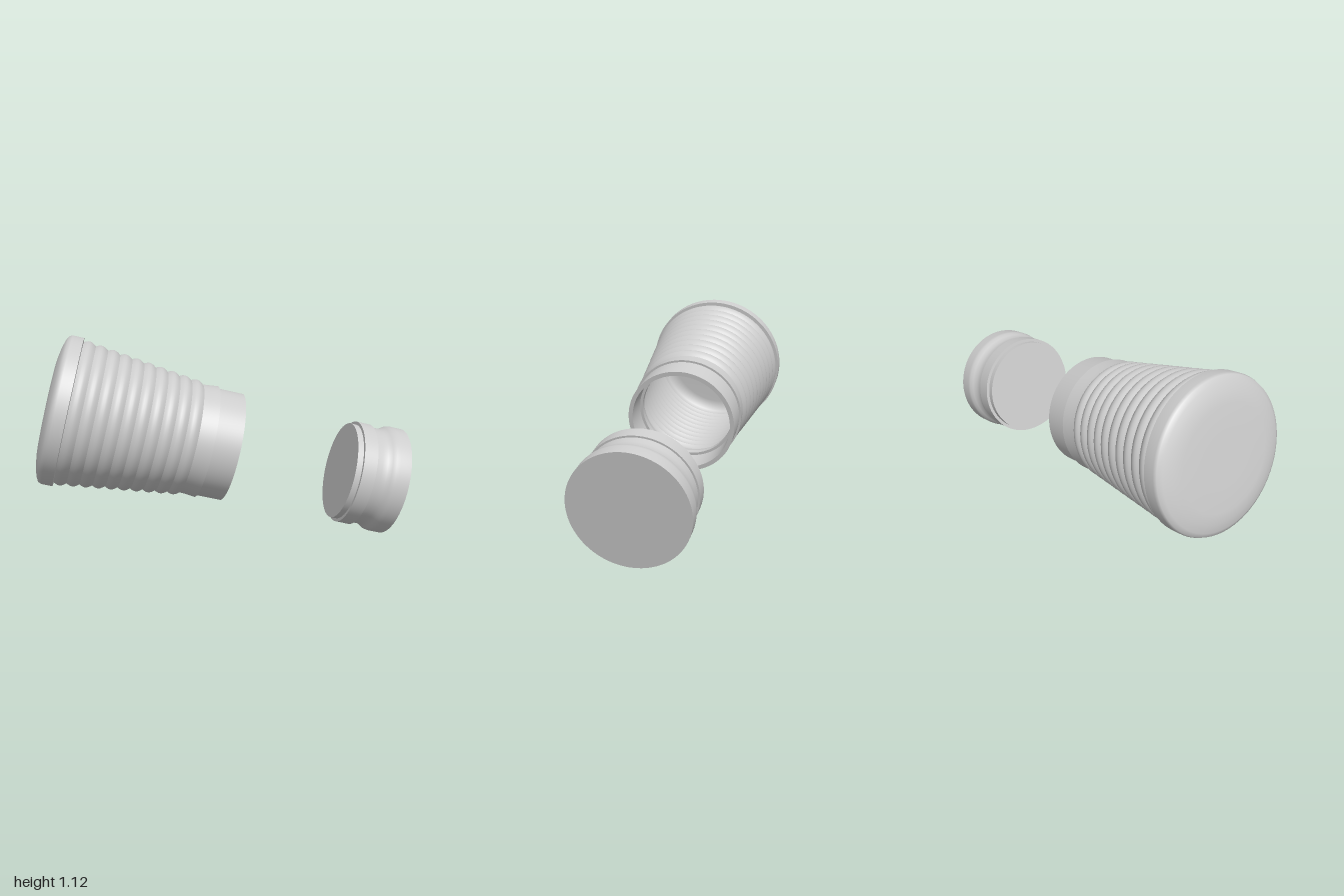
import * as THREE from 'three';
import { mergeGeometries } from 'three/addons/utils/BufferGeometryUtils.js';

const SEGMENTS = 96;
const TILT = 0.241;

// Each section of [radius, distance along axis] is smooth; edges between sections stay sharp.
function turned(name, sections, material) {
  const parts = sections.map((s) =>
    new THREE.LatheGeometry(s.map(([r, u]) => new THREE.Vector2(r, u)), SEGMENTS));
  const mesh = new THREE.Mesh(mergeGeometries(parts), material);
  mesh.name = name;
  return mesh;
}

// Tapered wall of rounded ribs with sharp valleys
function ribs(count, u0, u1, r0, r1, height) {
  const list = [];
  for (let i = 0; i < count; i++) {
    const section = [];
    for (let k = 0; k <= 6; k++) {
      const t = (i + k / 6) / count;
      section.push([r0 + (r1 - r0) * t + height * Math.sin(Math.PI * k / 6), u0 + (u1 - u0) * t]);
    }
    list.push(section);
  }
  return list;
}

// Same wall walked backwards, so it faces the hollow
const reversed = (sections) => sections.map((s) => [...s].reverse()).reverse();

export function createModel() {
  const model = new THREE.Group();
  model.name = 'ribbedContainer';
  const grey = new THREE.MeshStandardMaterial({ color: 0xcccccc });
  grey.name = 'light grey';

  // Everything shares one tilted axis
  const axis = new THREE.Group();
  axis.name = 'tiltedAxis';
  axis.rotation.z = -(Math.PI / 2 + TILT);
  axis.position.set(0.505 * Math.sin(TILT), 0.505 * Math.cos(TILT), 0);
  model.add(axis);

  // Wide closed end with a soft rim
  axis.add(turned('closedEnd', [
    [[0, -1.088], [0.13, -1.088], [0.264, -1.087], [0.32, -1.078], [0.365, -1.065], [0.388, -1.052], [0.395, -1.035], [0.395, -0.977]],
    [[0.395, -0.977], [0.372, -0.975]],
  ], grey));

  // Ribbed outer wall
  axis.add(turned('ribbedWall', ribs(10, -0.975, -0.32, 0.374, 0.296, 0.014), grey));

  // Collar and mouth
  axis.add(turned('collarAndMouth', [
    [[0.296, -0.32], [0.298, -0.29], [0.304, -0.235]],
    [[0.304, -0.235], [0.293, -0.235]],
    [[0.293, -0.235], [0.293, -0.095]],
    [[0.293, -0.095], [0.27, -0.095]],
    [[0.27, -0.095], [0.27, -0.235]],
    [[0.27, -0.235], [0.255, -0.235]],
    [[0.255, -0.235], [0.255, -0.265]],
    [[0.255, -0.265], [0.275, -0.32]],
  ], grey));

  // Hollow inside
  axis.add(turned('innerWall', [
    ...reversed(ribs(10, -0.975, -0.32, 0.354, 0.275, 0.014)),
    [[0.354, -0.975], [0.36, -1.03], [0.3, -1.055], [0, -1.065]],
  ], grey));

  // Separate stopper: plug, sealing ring, waist and foot
  axis.add(turned('stopper', [
    [[0, 0.535], [0.266, 0.535]],
    [[0.266, 0.535], [0.266, 0.567]],
    [[0.266, 0.567], [0.283, 0.567]],
    [[0.283, 0.567], [0.283, 0.642]],
    [[0.283, 0.642], [0.274, 0.642]],
    [[0.274, 0.642], [0.27, 0.675], [0.27, 0.705], [0.282, 0.728], [0.293, 0.745], [0.296, 0.765], [0.296, 0.828]],
    [[0.296, 0.828], [0, 0.828]],
  ], grey));

  return model;
}
